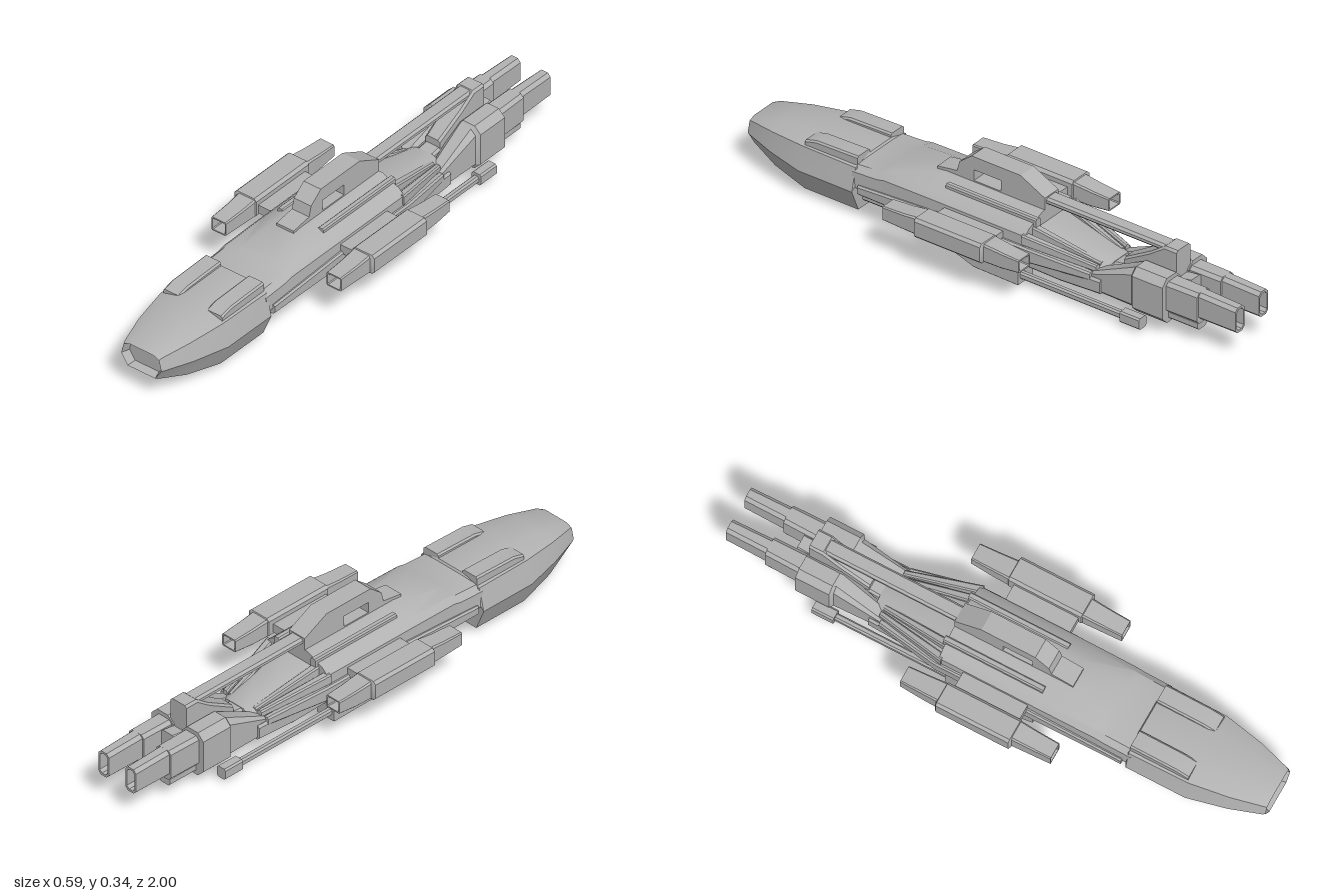
import * as THREE from 'three';
import { toCreasedNormals } from 'three/addons/utils/BufferGeometryUtils.js';

const hullGrey = new THREE.MeshStandardMaterial({ color: 0xb2b2b2 });
hullGrey.name = 'hull grey';

// Skin a list of rings [z, [[x, y], ...]], counter-clockwise from the front, front to back
function loft(rings) {
  const pos = [], tri = (...p) => p.forEach((v) => pos.push(...v));
  const R = rings.map(([z, pts]) => pts.map(([x, y]) => [x, y, z]));
  const n = R[0].length;
  for (let k = 0; k < R.length - 1; k++) {
    for (let i = 0; i < n; i++) {
      const j = (i + 1) % n, a = R[k], b = R[k + 1];
      tri(a[i], b[i], b[j]);
      tri(a[i], b[j], a[j]);
    }
  }
  const f = R[0], e = R[R.length - 1];
  for (let i = 1; i < n - 1; i++) {
    tri(f[0], f[i], f[i + 1]);
    tri(e[0], e[i + 1], e[i]);
  }
  const g = new THREE.BufferGeometry();
  g.setAttribute('position', new THREE.Float32BufferAttribute(pos, 3));
  return toCreasedNormals(g, 0.5);
}

// Ring from its right half, bottom to top
const half = (z, pts) => [z, [...pts, ...pts.map(([x, y]) => [-x, y]).reverse()]];

// Chamfered rectangular ring: half width w, heights y0..y1, chamfer c, centre x
const rect = (z, w, y0, y1, c = 0.008, cx = 0) => {
  const [, pts] = half(z, [[w - c, y0], [w, y0 + c], [w, y1 - c], [w - c, y1]]);
  return [z, pts.map(([x, y]) => [x + cx, y])];
};

export function createModel() {
  const model = new THREE.Group();
  model.name = 'spaceship';
  const add = (name, geometry) => {
    const m = new THREE.Mesh(geometry, hullGrey);
    m.name = name;
    model.add(m);
    return m;
  };

  // Nose with a shallow recessed front face
  add('nose', loft([
    half(0.97, [[0.05, 0.092], [0.074, 0.125], [0.066, 0.16], [0.045, 0.168]]),
    half(1.0, [[0.058, 0.085], [0.084, 0.125], [0.074, 0.165], [0.05, 0.175]]),
    half(0.99, [[0.062, 0.08], [0.09, 0.125], [0.078, 0.17], [0.05, 0.18]]),
    half(0.88, [[0.095, 0.05], [0.125, 0.118], [0.108, 0.183], [0.055, 0.2]]),
    half(0.74, [[0.12, 0.027], [0.155, 0.11], [0.132, 0.194], [0.06, 0.214]]),
    half(0.52, [[0.12, 0.027], [0.155, 0.11], [0.135, 0.194], [0.06, 0.216]]),
    half(0.42, [[0.1, 0.11], [0.145, 0.13], [0.13, 0.19], [0.06, 0.208]]).map((v, i) => (i ? v : 0.515)),
  ]));

  // Main hull with raised roof, then the narrowing stern
  const hull = (z, w, shoulder, roofW, roof) => half(z, [
    [w - 0.035, 0.105], [w, 0.125], [w - 0.004, shoulder - 0.02], [w - 0.025, shoulder], [roofW, roof],
  ]);
  add('mainHull', loft([
    hull(0.53, 0.145, 0.2, 0.06, 0.208),
    hull(0.43, 0.145, 0.205, 0.07, 0.212),
    hull(0.4, 0.145, 0.212, 0.07, 0.224),
    hull(0.22, 0.146, 0.214, 0.055, 0.245),
    hull(-0.18, 0.146, 0.214, 0.05, 0.245),
  ]));
  add('stern', loft([
    hull(-0.17, 0.12, 0.19, 0.06, 0.2),
    hull(-0.32, 0.1, 0.165, 0.045, 0.175),
    hull(-0.46, 0.08, 0.14, 0.035, 0.15),
  ]));
  add('keel', loft([
    rect(0.53, 0.1, 0.05, 0.115), rect(0.1, 0.1, 0.05, 0.115),
    rect(-0.3, 0.115, 0.055, 0.115), rect(-0.46, 0.11, 0.06, 0.115),
  ]));

  // Dorsal spine: raised handle, long rod and rear post
  const handle = new THREE.Shape([
    [-0.26, 0.235], [-0.26, 0.25], [-0.18, 0.262], [-0.17, 0.3], [-0.12, 0.34],
    [0.08, 0.34], [0.15, 0.305], [0.18, 0.29], [0.18, 0.235],
  ].map(([x, y]) => new THREE.Vector2(x, y)));
  handle.holes.push(new THREE.Path([[-0.11, 0.25], [0.0, 0.25], [0.0, 0.29], [-0.11, 0.29]]
    .map(([x, y]) => new THREE.Vector2(x, y))));
  const handleGeo = new THREE.ExtrudeGeometry(handle, { depth: 0.072, bevelEnabled: false });
  handleGeo.translate(0, 0, -0.036).rotateY(Math.PI / 2);
  add('dorsalHandle', handleGeo);
  add('dorsalRod', loft([rect(-0.15, 0.028, 0.26, 0.286), rect(-0.67, 0.028, 0.26, 0.286)]));
  add('rearPost', loft([
    rect(-0.5, 0.03, 0.1, 0.18), rect(-0.61, 0.035, 0.1, 0.245),
    rect(-0.67, 0.037, 0.1, 0.288), rect(-0.72, 0.037, 0.1, 0.288),
  ]));
  add('tailCore', loft([rect(-0.4, 0.035, 0.07, 0.14), rect(-0.77, 0.03, 0.08, 0.19)]));

  for (const s of [1, -1]) {
    const side = s > 0 ? 'left' : 'right';
    const sideLoft = (name, rings) => add(side + name, loft(rings));

    // Raised nose panel
    sideLoft('NosePanel', [
      rect(0.735, 0.034, 0.17, 0.214, 0.006, s * 0.09), rect(0.69, 0.034, 0.17, 0.226, 0.006, s * 0.09),
      rect(0.52, 0.034, 0.17, 0.23, 0.006, s * 0.09),
    ]);

    // Hull side rail, roof rail and converging stern ribs
    sideLoft('SideRail', [
      rect(0.5, 0.015, 0.105, 0.14, 0.006, s * 0.138), rect(0.15, 0.018, 0.105, 0.16, 0.006, s * 0.138),
      rect(-0.19, 0.018, 0.105, 0.16, 0.006, s * 0.138), rect(-0.42, 0.012, 0.1, 0.13, 0.006, s * 0.1),
    ]);
    sideLoft('RoofRail', [
      rect(0.18, 0.012, 0.2, 0.24, 0.005, s * 0.085), rect(-0.19, 0.012, 0.2, 0.24, 0.005, s * 0.085),
    ]);
    [[0.135, 0.2, 0.08], [0.09, 0.215, 0.055]].forEach(([x, y, xe], i) => sideLoft('SternRib' + (i + 1), [
      rect(-0.17, 0.015, y - 0.04, y, 0.005, s * x), rect(-0.43, 0.01, 0.125, 0.15, 0.005, s * xe),
    ]));

    // Belly skid, lower rod and its end block
    sideLoft('BellySkid', [
      rect(0.17, 0.04, 0.05, 0.11, 0.004, s * 0.107), rect(0.03, 0.04, 0.003, 0.11, 0.003, s * 0.107),
      rect(-0.15, 0.04, 0, 0.11, 0.003, s * 0.107), rect(-0.155, 0.04, 0.003, 0.11, 0.003, s * 0.107),
    ]);
    sideLoft('LowerRod', [
      rect(-0.15, 0.012, 0.02, 0.046, 0.006, s * 0.125), rect(-0.6, 0.012, 0.02, 0.046, 0.006, s * 0.125),
    ]);
    sideLoft('LowerRodBlock', [
      rect(-0.57, 0.02, 0.014, 0.056, 0.006, s * 0.127), rect(-0.65, 0.02, 0.014, 0.056, 0.006, s * 0.127),
    ]);

    // Tail block
    sideLoft('TailBlock', [
      rect(-0.41, 0.025, 0.06, 0.125, 0.008, s * 0.075), rect(-0.59, 0.043, 0.052, 0.205, 0.02, s * 0.064),
      rect(-0.6, 0.05, 0.046, 0.215, 0.025, s * 0.07), rect(-0.725, 0.05, 0.046, 0.215, 0.025, s * 0.07),
    ]);

    // Engine housing and open exhaust
    sideLoft('EngineHousing', [
      rect(-0.72, 0.036, 0.085, 0.2, 0.012, s * 0.063), rect(-0.85, 0.034, 0.085, 0.2, 0.012, s * 0.063),
    ]);
    sideLoft('EngineFoot', [
      rect(-0.72, 0.024, 0.058, 0.09, 0.006, s * 0.063), rect(-0.845, 0.024, 0.058, 0.09, 0.006, s * 0.063),
    ]);
    sideLoft('Exhaust', [
      rect(-0.84, 0.027, 0.1, 0.2, 0.012, s * 0.063), rect(-1, 0.025, 0.1, 0.195, 0.012, s * 0.063),
      rect(-1, 0.018, 0.108, 0.187, 0.01, s * 0.063), rect(-0.95, 0.016, 0.11, 0.185, 0.01, s * 0.063),
    ]);

    // Side pod on its strut, with hollow ends
    const strut = new THREE.BoxGeometry(0.1, 0.033, 0.24);
    strut.translate(s * 0.17, 0.167, 0.03);
    add(side + 'PodStrut', strut);
    sideLoft('PodBody', [
      rect(0.165, 0.04, 0.142, 0.2, 0.01, s * 0.247), rect(0.16, 0.046, 0.136, 0.21, 0.01, s * 0.248),
      rect(-0.11, 0.046, 0.136, 0.21, 0.01, s * 0.248), rect(-0.115, 0.04, 0.142, 0.2, 0.01, s * 0.247),
    ]);
    const cx = s * 0.242;
    sideLoft('PodCore', [
      rect(0.25, 0.02, 0.152, 0.183, 0.003, cx), rect(0.305, 0.026, 0.145, 0.188, 0.003, cx),
      rect(0.305, 0.031, 0.14, 0.193, 0.004, cx), rect(0.22, 0.034, 0.138, 0.198, 0.005, cx),
      rect(0.16, 0.037, 0.138, 0.206, 0.006, cx), rect(-0.11, 0.037, 0.138, 0.206, 0.006, cx),
      rect(-0.18, 0.034, 0.138, 0.198, 0.005, cx), rect(-0.253, 0.031, 0.145, 0.193, 0.004, cx),
      rect(-0.253, 0.026, 0.15, 0.188, 0.003, cx), rect(-0.21, 0.02, 0.155, 0.183, 0.003, cx),
    ]);
  }
  return model;
}
